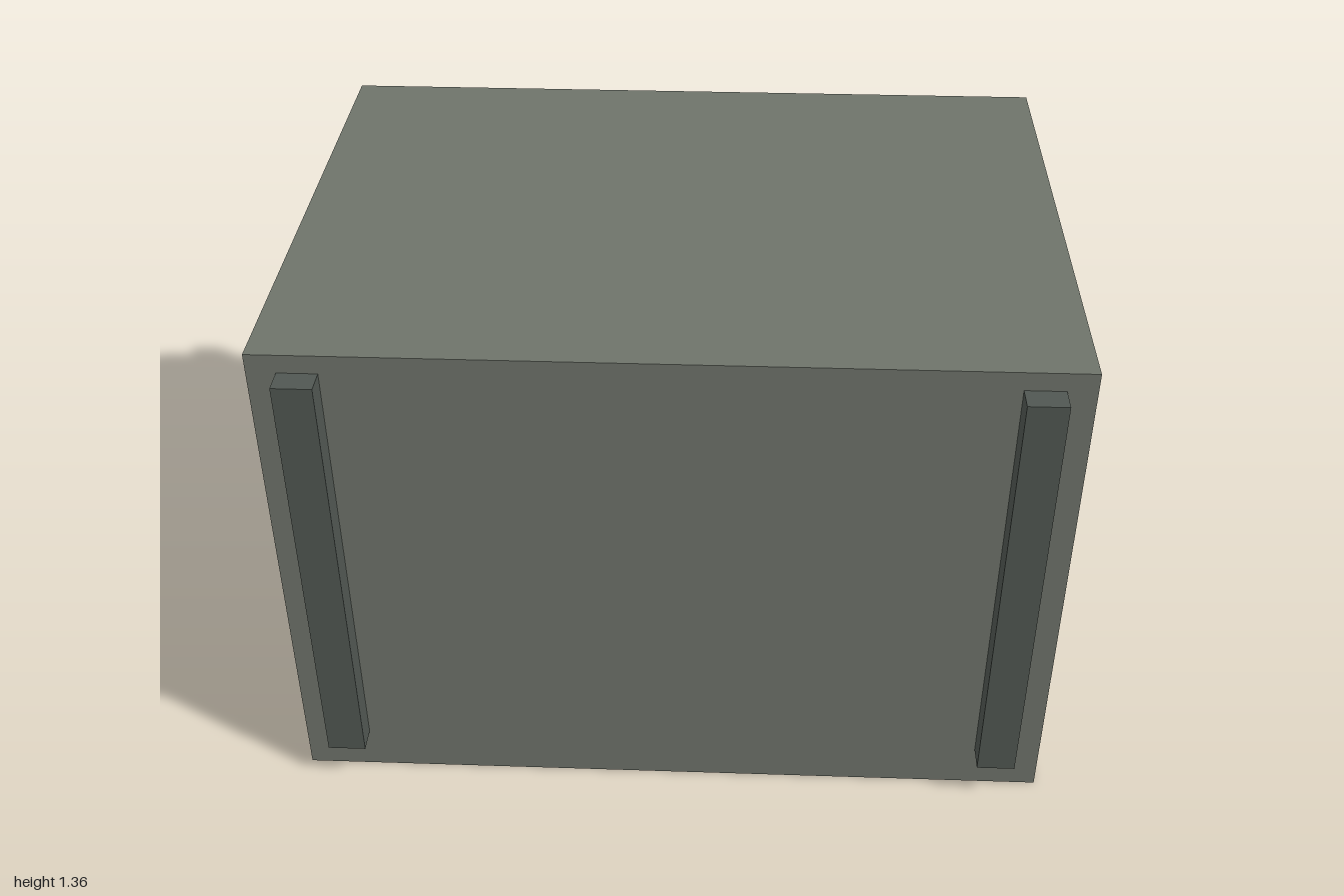
import * as THREE from 'three';

const BODY = { width: 2, height: 1.355, depth: 1.48 };
const POST = { width: 0.1, height: 1.185, depth: 0.075, x: 0.877, bottom: 0.12, outer: 0.805 };

function box(name, width, height, depth, material) {
  const mesh = new THREE.Mesh(new THREE.BoxGeometry(width, height, depth), material);
  mesh.name = name;
  return mesh;
}

export function createModel() {
  const model = new THREE.Group();
  model.name = 'crate';
  const bodyMaterial = new THREE.MeshStandardMaterial({ color: 0x6e736a });
  const postMaterial = new THREE.MeshStandardMaterial({ color: 0x505752 });

  // Main block
  const body = box('body', BODY.width, BODY.height, BODY.depth, bodyMaterial);
  body.position.y = BODY.height / 2;
  model.add(body);

  // Upright battens near the corners of the front and back, set slightly into the block
  for (const [end, sz] of [['front', 1], ['back', -1]]) {
    for (const [side, sx] of [['Left', 1], ['Right', -1]]) {
      const post = box(`${end}${side}Batten`, POST.width, POST.height, POST.depth, postMaterial);
      post.position.set(sx * POST.x, POST.bottom + POST.height / 2, sz * (POST.outer - POST.depth / 2));
      model.add(post);
    }
  }
  return model;
}
